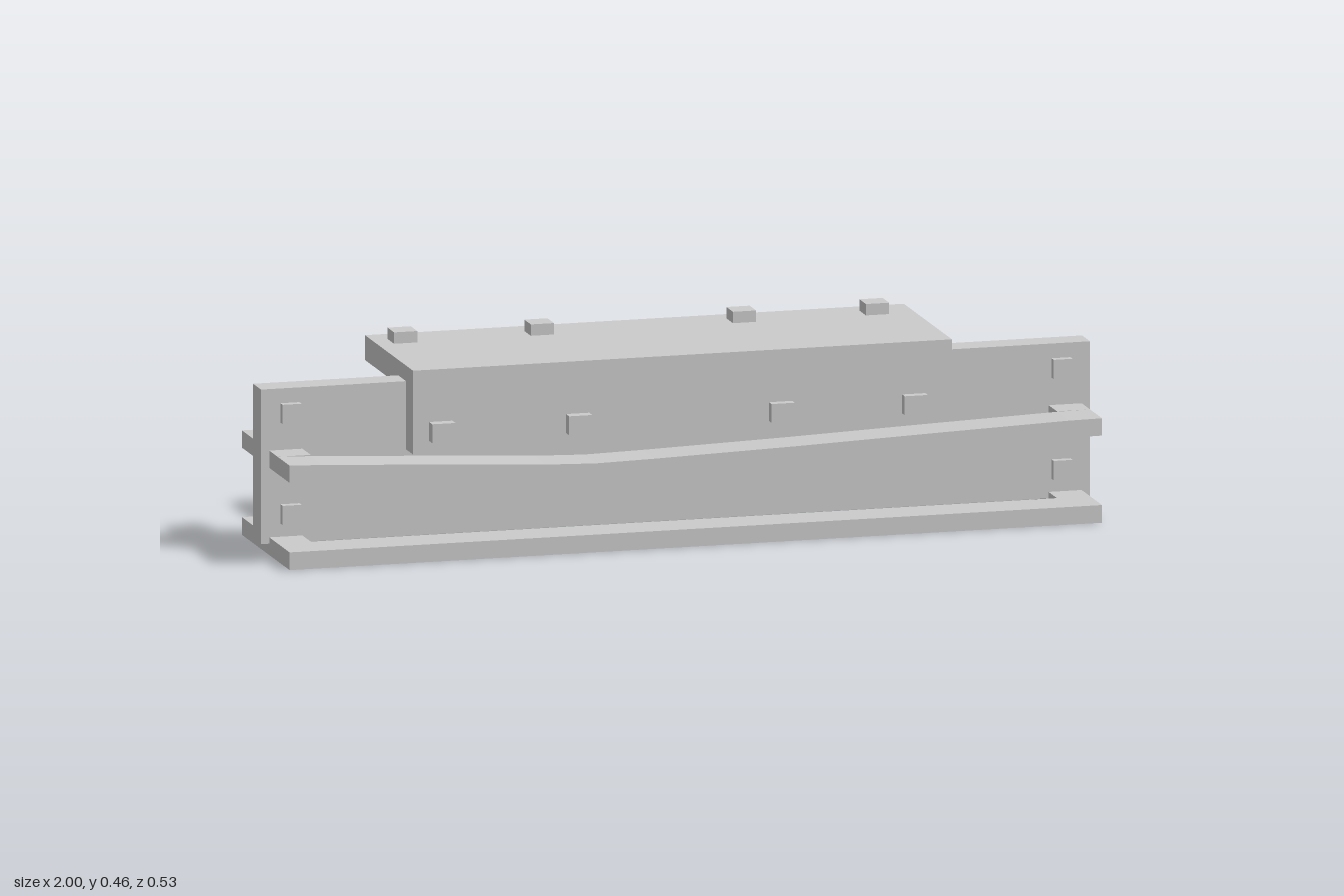
import * as THREE from 'three';

const material = new THREE.MeshStandardMaterial({ color: 0xcccccc, flatShading: true });

// Box given by its minimum and maximum along each axis
function box(name, [x0, x1], [y0, y1], [z0, z1]) {
  const mesh = new THREE.Mesh(new THREE.BoxGeometry(x1 - x0, y1 - y0, z1 - z0), material);
  mesh.position.set((x0 + x1) / 2, (y0 + y1) / 2, (z0 + z1) / 2);
  mesh.name = name;
  return mesh;
}

// Bar running along x, with a profile that dips by the given sag, extruded in z
function bar(name, y, height, z0, z1, sag) {
  const top = sag.map(([x, dy]) => new THREE.Vector2(x, y + height + dy));
  const bottom = sag.map(([x, dy]) => new THREE.Vector2(x, y + dy));
  const shape = new THREE.Shape([...bottom, ...top.reverse()]);
  const geometry = new THREE.ExtrudeGeometry(shape, { depth: z1 - z0, bevelEnabled: false });
  const mesh = new THREE.Mesh(geometry, material);
  mesh.position.z = z0;
  mesh.name = name;
  return mesh;
}

// U-shaped rail: a front bar with an arm going back at each end
function rail(name, y, height, sag) {
  const group = new THREE.Group();
  group.name = name;
  group.add(bar('railBar', y, height, 0.162, 0.265, sag));
  for (const s of [-1, 1]) {
    const xs = s < 0 ? [-0.98, -0.9] : [0.9, 0.98];
    group.add(box('railArm', xs, [y, y + height], [-0.145, 0.162]));
  }
  return group;
}

export function createModel() {
  const model = new THREE.Group();
  model.name = 'bumperAssembly';

  // Upright board
  model.add(box('board', [-1, 1], [0.027, 0.394], [0.022, 0.09]));

  // Straight lower rail and bent upper rail
  model.add(rail('lowerRail', 0, 0.042, [[-0.98, 0], [0.98, 0]]));
  model.add(rail('upperRail', 0.207, 0.041, [
    [-0.98, 0], [-0.9, -0.003], [-0.6, -0.019], [-0.36, -0.033], [-0.24, -0.037],
    [-0.1, -0.034], [0.24, -0.024], [0.6, -0.011], [0.9, -0.001], [0.98, 0],
  ]));

  // Angle bracket: L profile extruded along x
  const profile = new THREE.Shape([
    [0.15, 0.232], [0.15, 0.431], [-0.263, 0.431],
    [-0.263, 0.372], [0.09, 0.372], [0.09, 0.232],
  ].map(([z, y]) => new THREE.Vector2(-z, y)));
  const bracket = new THREE.Mesh(
    new THREE.ExtrudeGeometry(profile, { depth: 1.3, bevelEnabled: false }), material);
  bracket.rotation.y = Math.PI / 2;
  bracket.position.x = -0.65;
  bracket.name = 'angleBracket';
  model.add(bracket);

  // Square bolt heads on the top and front of the bracket
  for (const x of [-0.583, -0.253, 0.237, 0.558]) {
    const xs = [x - 0.028, x + 0.028];
    const back = x < 0 ? -0.208 : -0.217;
    model.add(box('topBolt', xs, [0.425, 0.458], [back, back + 0.056]));
    model.add(box('frontBolt', xs, [0.262, 0.307], [0.145, x < 0 ? 0.177 : 0.172]));
  }

  // Bolt heads at the board corners
  for (const x of [-0.93, 0.93])
    for (const y of [0.096, 0.336])
      model.add(box('boardBolt', [x - 0.023, x + 0.023], [y - 0.023, y + 0.023], [0.085, 0.109]));

  return model;
}
